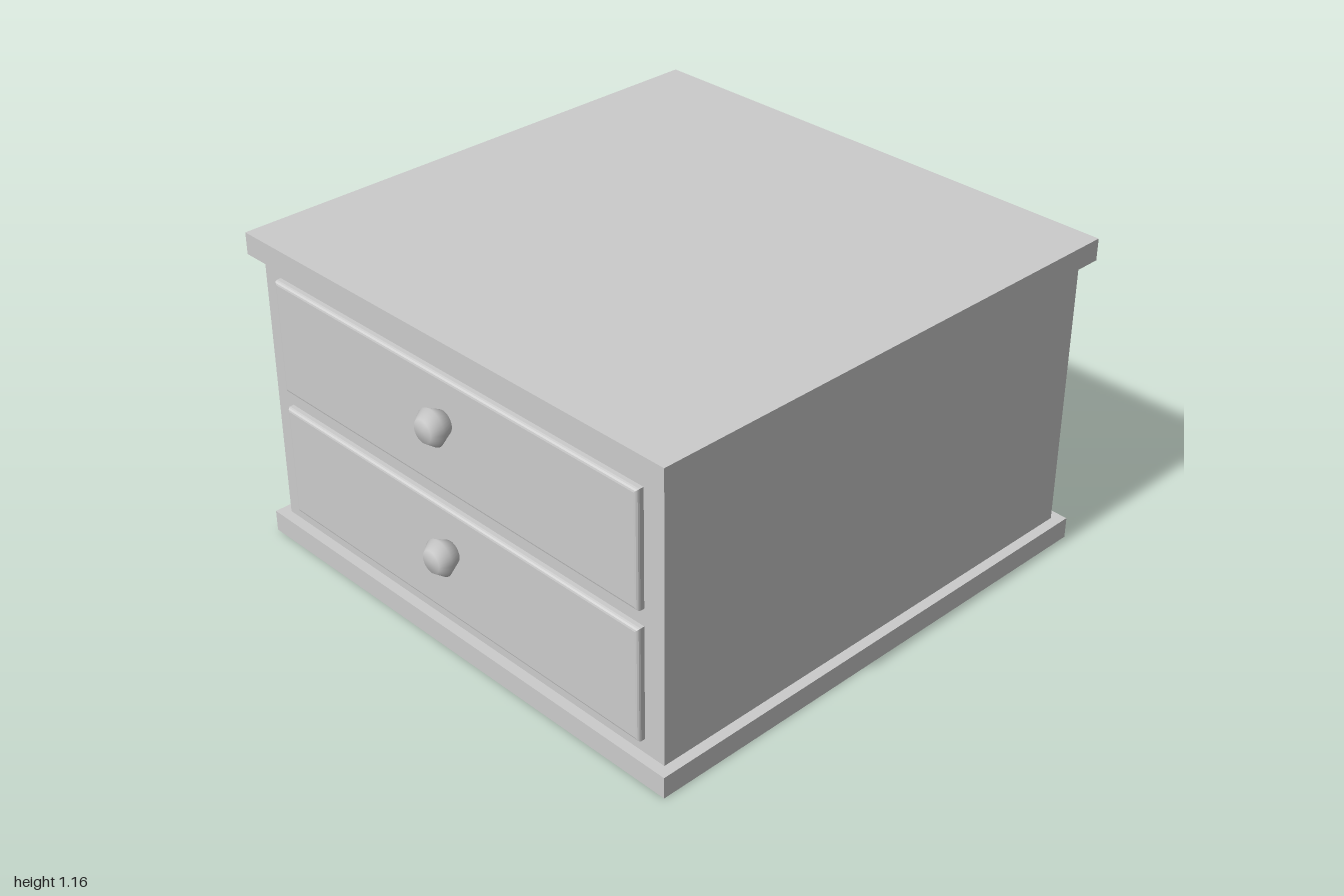
import * as THREE from 'three';

const material = new THREE.MeshStandardMaterial({ color: 0xcccccc });

function addPart(parent, name, geometry, x, y, z) {
  const mesh = new THREE.Mesh(geometry, material);
  mesh.name = name;
  mesh.position.set(x, y, z);
  parent.add(mesh);
  return mesh;
}

// Rectangular panel with softened edges; its front face lies at z = 0
function drawerGeometry(width, height, depth, bevel) {
  const w = width / 2 - bevel, h = height / 2 - bevel;
  const shape = new THREE.Shape([
    new THREE.Vector2(-w, -h), new THREE.Vector2(w, -h),
    new THREE.Vector2(w, h), new THREE.Vector2(-w, h),
  ]);
  const geometry = new THREE.ExtrudeGeometry(shape, {
    depth: depth - 2 * bevel, bevelEnabled: true,
    bevelSize: bevel, bevelThickness: bevel, bevelSegments: 3,
  });
  return geometry.translate(0, 0, bevel - depth);
}

// Turned knob pointing along +z, flaring from its neck to a rim
function knobGeometry() {
  const profile = [[0, 0], [0.036, 0], [0.065, 0.057], [0.04, 0.09], [0, 0.09]];
  return new THREE.LatheGeometry(profile.map(([r, y]) => new THREE.Vector2(r, y)), 32)
    .rotateX(Math.PI / 2);
}

export function createModel() {
  const cabinet = new THREE.Group();
  cabinet.name = 'cabinet';

  // Carcass between two overhanging boards
  const board = new THREE.BoxGeometry(1.93, 0.078, 1.93);
  addPart(cabinet, 'baseBoard', board, 0, 0.039, -0.035);
  addPart(cabinet, 'topBoard', board, 0, 1.117, -0.035);
  addPart(cabinet, 'body', new THREE.BoxGeometry(1.854, 1.0, 1.854), 0, 0.578, -0.035);

  // Two drawers, each with a central knob
  const front = drawerGeometry(1.69, 0.414, 0.05, 0.012);
  const knob = knobGeometry();
  for (const [name, y] of [['lowerDrawer', 0.338], ['upperDrawer', 0.815]]) {
    const drawer = new THREE.Group();
    drawer.name = name;
    drawer.position.y = y;
    addPart(drawer, 'drawerFront', front, 0, 0, 0.919);
    addPart(drawer, 'knob', knob, 0, 0.052, 0.91);
    cabinet.add(drawer);
  }
  return cabinet;
}
